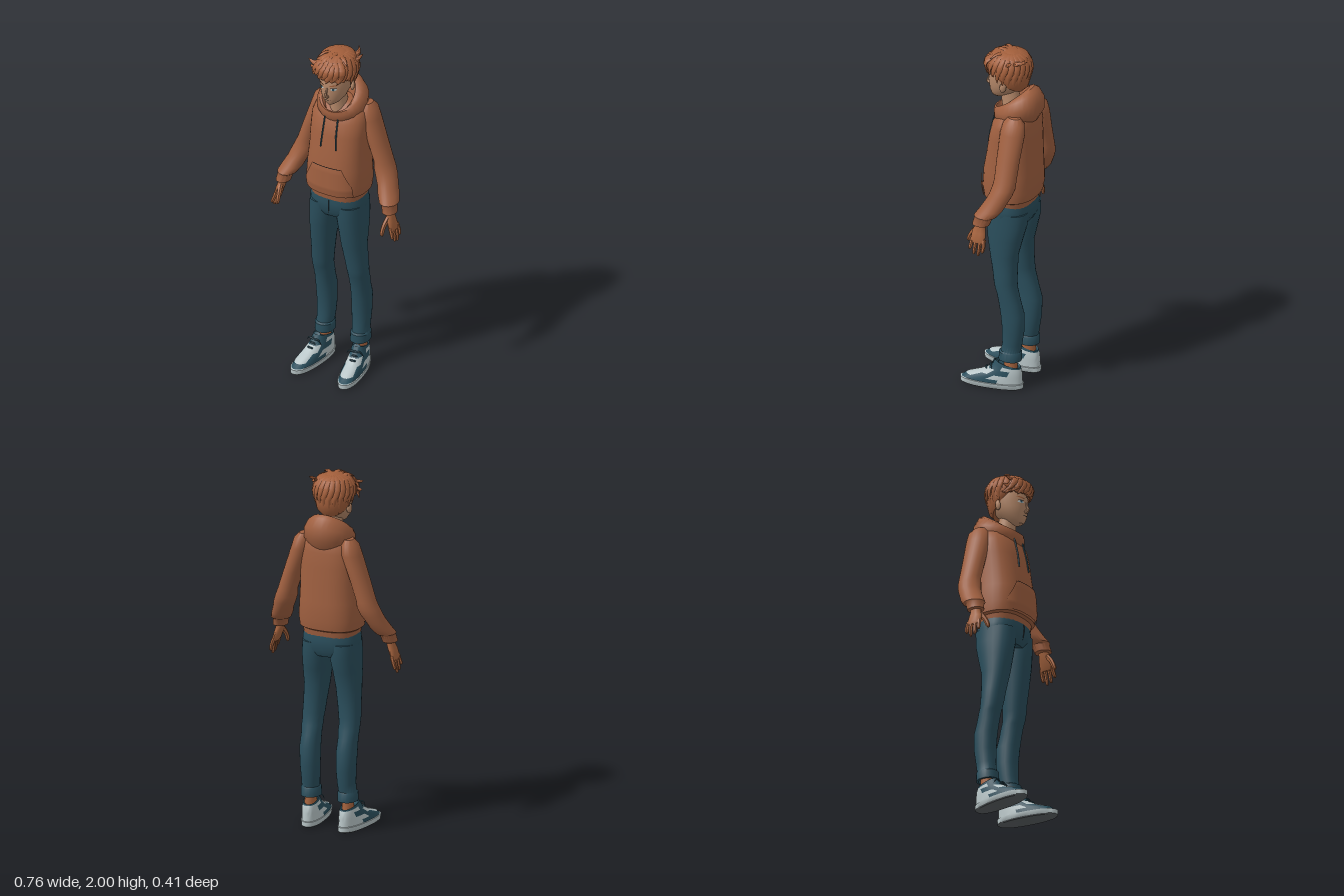
import * as THREE from 'three';
import { toCreasedNormals } from 'three/addons/utils/BufferGeometryUtils.js';
import { ParametricGeometry } from 'three/addons/geometries/ParametricGeometry.js';

const mat = (name, color) => Object.assign(new THREE.MeshStandardMaterial({ color }), { name });
const V = (x, y, z) => new THREE.Vector3(x, y, z);

// Skins a list of closed point rings and caps both ends; pick(i, j) gives a material slot per quad.
function skin(rings, pick = () => 0) {
  const n = rings[0].length, pos = [], slots = [];
  const put = (slot, ...ids) => (slots[slot] ??= []).push(...ids);
  rings.flat().forEach(p => pos.push(p.x, p.y, p.z));
  for (let i = 0; i < rings.length - 1; i++) for (let j = 0; j < n; j++) {
    const k = (j + 1) % n, a = i * n + j, b = i * n + k;
    put(pick(i, j / n), a, a + n, b, b, a + n, b + n);
  }
  [0, rings.length - 1].forEach((r, end) => {
    const c = rings[r].reduce((s, p) => s.add(p), V(0, 0, 0)).divideScalar(n);
    const id = pos.push(c.x, c.y, c.z) / 3 - 1;
    for (let j = 0; j < n; j++) {
      const a = r * n + j, b = r * n + (j + 1) % n;
      put(pick(end ? r : -1, j / n), id, ...(end ? [b, a] : [a, b]));
    }
  });
  const g = new THREE.BufferGeometry(), index = [];
  slots.forEach((ids, s) => { g.addGroup(index.length, ids.length, s); for (const v of ids) index.push(v); });
  g.setAttribute('position', new THREE.Float32BufferAttribute(pos, 3));
  g.setIndex(index);
  return toCreasedNormals(g, 0.75);
}

// Horizontal rings: [y, cx, cz, rx, rz, slope = rise toward the front]
function loft(rows, { s = 1, n = 24, pow = 2, pick } = {}) {
  const list = rows[0][0] > rows.at(-1)[0] ? [...rows].reverse() : rows;
  const e = t => Math.sign(t) * Math.abs(t) ** (2 / pow);
  return skin(list.map(([y, cx, cz, rx, rz, slope = 0]) => Array.from({ length: n }, (_, j) => {
    const a = j / n * Math.PI * 2, c = e(Math.cos(a)), d = e(Math.sin(a));
    return V(cx * s + rx * c, y + slope * d, cz + rz * d);
  })), pick);
}

// Tapered strand through points, flattened along the direction away from a centre
const fade = t => Math.max(0.02, Math.min(1, 0.4 + 3 * t) * (1 - t) ** 0.6);
const round = t => (t > 0.95 ? 0.5 : 1 - 0.2 * t);
function strand(pts, w, d, centre, taper = fade, steps = 7, n = 6) {
  const curve = new THREE.CatmullRomCurve3(pts);
  return skin(Array.from({ length: steps + 1 }, (_, i) => {
    const t = i / steps, p = curve.getPoint(t), T = curve.getTangent(t);
    const side = T.clone().cross(p.clone().sub(centre)).normalize(), up = side.clone().cross(T);
    return Array.from({ length: n }, (_, j) => {
      const a = j / n * Math.PI * 2, r = taper(t);
      return p.clone().addScaledVector(side, w * r * Math.cos(a)).addScaledVector(up, d * r * Math.sin(a));
    });
  }));
}

// Front depth of a loft at x, y
function frontZ(rows, x, y, pow = 2) {
  let i = 0;
  while (i < rows.length - 2 && rows[i + 1][0] < y) i++;
  const t = (y - rows[i][0]) / (rows[i + 1][0] - rows[i][0]);
  const m = k => rows[i][k] + (rows[i + 1][k] - rows[i][k]) * t;
  return m(2) + m(4) * Math.max(0, 1 - Math.abs(x / m(3)) ** pow) ** (1 / pow);
}

const TORSO = [
  [1.10, 0, -.035, .152, .122], [1.135, 0, -.035, .158, .128], [1.145, 0, -.036, .172, .145],
  [1.2, 0, -.036, .178, .154], [1.3, 0, -.037, .172, .15], [1.4, 0, -.044, .166, .139],
  [1.5, 0, -.05, .165, .13], [1.58, 0, -.057, .163, .118], [1.63, 0, -.068, .148, .098],
  [1.67, 0, -.075, .11, .075], [1.69, 0, -.075, .06, .05]];
const HEAD = [
  [1.705, 0, .055, .02, .028], [1.72, 0, .044, .042, .048], [1.75, 0, .025, .066, .075],
  [1.79, 0, .01, .08, .096], [1.83, 0, 0, .087, .105], [1.88, 0, -.005, .09, .108],
  [1.94, 0, -.01, .075, .09], [1.97, 0, -.01, .03, .04]];
const HOOD = [
  [1.59, 0, -.06, .115, .11, -.01], [1.635, 0, -.068, .14, .136, -.025], [1.68, 0, -.068, .141, .136, -.045],
  [1.715, 0, -.055, .12, .122, -.065], [1.722, 0, -.045, .1, .104, -.072], [1.71, 0, -.035, .083, .088, -.075],
  [1.64, 0, -.03, .065, .07, -.03]];
const ARM = [
  [1.665, .135, -.105, .025, .035], [1.635, .142, -.105, .046, .06], [1.58, .152, -.103, .054, .07],
  [1.44, .2, -.1, .053, .065], [1.33, .236, -.1, .053, .062], [1.29, .246, -.096, .06, .065],
  [1.25, .262, -.085, .06, .064], [1.21, .28, -.066, .055, .064], [1.17, .297, -.045, .057, .066],
  [1.135, .316, -.02, .053, .063], [1.125, .322, -.012, .042, .051], [1.085, .33, 0, .04, .048],
  [1.08, .331, 0, .03, .036]];
const LEG = [
  [1.06, .08, -.035, .08, .118], [.98, .083, -.035, .08, .115], [.9, .09, -.03, .075, .1],
  [.8, .095, -.026, .068, .079], [.7, .103, -.035, .062, .068], [.64, .108, -.04, .06, .064],
  [.6, .11, -.046, .056, .062], [.57, .11, -.055, .057, .06], [.52, .11, -.066, .053, .062],
  [.45, .11, -.082, .055, .066], [.35, .108, -.086, .053, .061], [.27, .108, -.08, .049, .055],
  [.225, .11, -.073, .047, .055], [.218, .11, -.07, .053, .063], [.17, .11, -.068, .053, .064],
  [.168, .11, -.07, .044, .05], [.19, .11, -.07, .035, .042]];
const SHOE = [
  [0, 0, .032, .052, .168], [.006, 0, .032, .058, .177], [.032, 0, .032, .06, .178],
  [.034, 0, .03, .056, .171], [.055, 0, .018, .054, .157], [.08, 0, -.018, .05, .121],
  [.11, 0, -.045, .045, .09], [.13, 0, -.055, .041, .076, .01], [.145, 0, -.06, .038, .068, .016],
  [.135, 0, -.06, .03, .055, .012]];

export function createModel() {
  const M = {
    hoodie: mat('hoodie brown', 0xa06040), hair: mat('hair brown', 0xa35f3b),
    skin: mat('warm skin', 0xa8653f), face: mat('pale skin', 0xb58869),
    denim: mat('teal denim', 0x2a4e5c), light: mat('light grey', 0xb9c6c8),
    sole: mat('sole grey', 0x5a5f62), dark: mat('dark line', 0x2e2a2a)
  };
  const root = new THREE.Group();
  const add = (name, geo, m, parent = root) => {
    const mesh = new THREE.Mesh(geo, m);
    mesh.name = name;
    parent.add(mesh);
    return mesh;
  };
  const plate = (name, m, fn, a = 14, b = 6) =>
    add(name, new ParametricGeometry((u, v, t) => t.set(...fn(u, v)), a, b), m);

  // Hoodie
  add('hoodieBody', loft(TORSO, { pow: 2.5, n: 32 }), M.hoodie);
  add('hood', loft(HOOD, { n: 30 }), M.hoodie);
  plate('frontPocket', M.hoodie, (u, v) => {
    const y = 1.15 + v * .175, w = v < .35 ? .145 : .145 - (v - .35) * .085, x = (2 * u - 1) * w;
    return [x, y, frontZ(TORSO, x, y, 2.5) + .009];
  }, 18, 10);
  plate('pocketSeam', M.dark, (u, v) => {
    const y = 1.323 + v * .004, x = (2 * u - 1) * .085;
    return [x, y, frontZ(TORSO, x, y, 2.5) + .011];
  }, 14, 1);

  // Pelvis
  add('jeansSeat', loft([[1.13, 0, -.035, .15, .12], [1.08, 0, -.035, .16, .126],
    [1.02, 0, -.036, .161, .12], [.985, 0, -.037, .14, .1]], { pow: 2.4, n: 28 }), M.denim);
  add('jeansFly', strand([V(.003, 1.1, .09), V(.003, 1.06, .091), V(0, 1.01, .084)], .003, .004, V(0, 1.05, 0)), M.dark);

  // Head
  add('neck', loft([[1.58, 0, -.035, .062, .068], [1.66, 0, -.028, .05, .055], [1.76, 0, -.008, .045, .05]]), M.face);
  add('head', loft(HEAD, { n: 28 }), M.face);
  add('nose', strand([V(0, 1.825, .1), V(0, 1.79, .116), V(0, 1.776, .12), V(0, 1.766, .1)], .011, .01, V(0, 1.79, 0), t => .45 + .6 * t), M.face);
  const disc = (name, m, X, Y, rx, ry, lift, tilt = 0) => plate(name, m, (u, v) => {
    const k = 2 * u - 1, x = X + rx * k, y = Y + tilt * k + ry * (2 * v - 1) * Math.sqrt(Math.max(0, 1 - k * k));
    return [x, y, frontZ(HEAD, x, y) + lift];
  }, 10, 4);
  disc('mouth', M.dark, 0, 1.744, .022, .002, .004);

  for (const s of [1, -1]) {
    const side = s > 0 ? 'left' : 'right';
    disc(side + 'EyeWhite', M.light, s * .037, 1.817, .016, .007, .003);
    disc(side + 'Iris', M.denim, s * .036, 1.817, .006, .007, .005);
    disc(side + 'Lash', M.dark, s * .037, 1.825, .018, .0025, .005);
    disc(side + 'Brow', M.hair, s * .038, 1.842, .022, .004, .005, s * .004);
    const ear = add(side + 'Ear', new THREE.SphereGeometry(1, 10, 8), M.face);
    ear.scale.set(.012, .03, .019);
    ear.position.set(s * .091, 1.805, -.015);
    ear.rotation.set(-.15, s * .4, 0);

    // Drawcord
    add(side + 'Drawcord', strand([[.04, 1.625], [.041, 1.56], [.043, 1.5], [.047, 1.43]].map(([x, y]) =>
      V(s * x, y, frontZ(TORSO, x, y, 2.5) + (y > 1.6 ? .02 : .005))), .0045, .0045, V(0, 1.5, -.1), () => 1), M.denim);

    // Arm and hand
    add(side + 'Sleeve', loft(ARM, { s }), M.hoodie);
    const hand = new THREE.Group();
    hand.name = side + 'Hand';
    root.add(hand);
    add('palm', loft([[1.11, .328, 0, .024, .03], [1.07, .334, .002, .022, .031], [1.04, .343, .006, .021, .04],
      [1.0, .356, .006, .018, .043], [.985, .36, .005, .013, .039]], { s, n: 16 }), M.skin, hand);
    const inner = V(s * .2, 1, 0);
    [[.038, .945], [.016, .92], [-.007, .912], [-.029, .935]].forEach(([z, tip], i) =>
      add('finger' + (i + 1), strand([V(s * .355, 1.005, z), V(s * .367, .968, z * 1.12), V(s * .375, tip, z * 1.1 + .004)],
        .012, .012, inner, round), M.skin, hand));
    add('thumb', strand([V(s * .335, 1.065, .018), V(s * .327, 1.025, .052), V(s * .324, .995, .068), V(s * .325, .967, .078)],
      .015, .014, inner, round), M.skin, hand);

    // Leg
    add(side + 'JeansLeg', loft(LEG, { s, pow: 2.15 }), M.denim);
    add(side + 'Ankle', loft([[.1, .114, -.072, .033, .042], [.15, .112, -.072, .031, .038], [.21, .11, -.072, .034, .04]], { s, n: 16 }), M.skin);

    // Shoe: dark tread, pale sole and toe box, teal bumper, side flash and collar
    const shoe = new THREE.Group();
    shoe.name = side + 'Shoe';
    shoe.position.x = s * .124;
    shoe.rotation.y = s * .14;
    root.add(shoe);
    add('shoeBody', loft(SHOE, {
      n: 36, pow: 2.3, pick: (i, t) => {
        const f = Math.sin((t + 1 / 72) * Math.PI * 2);
        if (i < 1) return 2;
        if (i < 3) return 0;
        if (i === 3) return f > -.1 ? 1 : 0;
        if (i === 4) return f > .1 && f < .75 ? 1 : 0;
        if (i === 5) return f > -.3 && f < .5 ? 1 : 0;
        return i > 6 || f > .2 ? 1 : 0;
      }
    }), [M.light, M.denim, M.sole], shoe);
    add('tongue', strand([V(0, .095, .05), V(0, .135, .01), V(0, .165, -.012)], .028, .008, V(0, 0, -.1), round), M.denim, shoe);
    for (let i = 0; i < 3; i++) {
      const y = .098 + i * .018, z = .066 - i * .024;
      add('lace' + (i + 1), strand([V(-.034, y - .014, z - .03), V(0, y + .008, z), V(.034, y - .014, z - .03)], .005, .005, V(0, 0, -.1), () => 1), M.denim, shoe);
    }
    for (const k of [1, -1]) add('laceLoop', strand([V(0, .135, .024), V(k * .03, .142, .026), V(k * .05, .115, .02)], .007, .005, V(0, 0, -.1)), M.denim, shoe);
  }

  // Hair: cap, combed locks around the crown, swept fringe and loose tips
  add('hairCap', loft([[1.815, 0, -.012, .082, .08, .05], [1.835, 0, -.016, .096, .1, .045], [1.87, 0, -.014, .104, .115, .03],
    [1.92, 0, -.012, .107, .118, .01], [1.96, 0, -.014, .09, .1], [1.983, 0, -.018, .058, .065], [1.993, 0, -.02, .02, .025]], { n: 28 }), M.hair);
  const centre = V(0, 1.86, -.015);
  const lock = (w, d, ...p) => add('hairLock', strand(p.map(q => V(...q)), w, d, centre), M.hair);
  for (let k = 0; k < 22; k++) {
    const a = k / 22 * Math.PI * 2, b = a + .22, f = Math.sin(b), j = (k * 7 % 5) / 5;
    const end = f > .3 ? 1.875 : f > -.4 ? 1.825 - j * .02 : 1.775 + j * .025;
    const r = f < -.4 ? .85 : 1;
    lock(.027, .013, [.01, 1.983, -.03], [Math.cos(a) * .075, 1.972, -.015 + Math.sin(a) * .085],
      [Math.cos(a + .1) * .112, 1.915, -.012 + Math.sin(a + .1) * .122],
      [Math.cos(b) * .107, 1.865, -.012 + f * .12], [Math.cos(b) * .1 * r, end, -.008 + f * .114 * r]);
  }
  for (let i = 0; i < 7; i++) {
    const x = .085 - i * .03;
    lock(.026, .012, [.05 - i * .008, 1.972, .05], [x * .9 + .01, 1.935, .113 - x * x * 3], [x - .005, 1.895, .122 - x * x * 4.5],
      [x - .03, 1.85 + (i % 2) * .012, .11 - (x - .03) ** 2 * 5]);
  }
  [[[-.06, 1.95, .06], [-.1, 1.935, .07], [-.14, 1.945, .06]], [[-.07, 1.92, .06], [-.11, 1.895, .06], [-.138, 1.9, .045]],
    [[-.07, 1.9, .06], [-.105, 1.87, .06], [-.12, 1.845, .05]], [[.06, 1.95, -.06], [.08, 1.965, -.1], [.055, 1.975, -.145]],
    [[.06, 1.94, -.02], [.1, 1.955, -.05], [.118, 1.975, -.08]], [[.02, 1.97, 0], [.06, 1.985, .03], [.1, 1.965, .06]],
    [[-.03, 1.97, -.02], [-.06, 1.985, .02], [-.085, 1.965, .06]], [[0, 1.975, -.03], [0, 1.992, .03], [-.02, 1.97, .09]]
  ].forEach(p => lock(.02, .01, ...p));
  return root;
}
